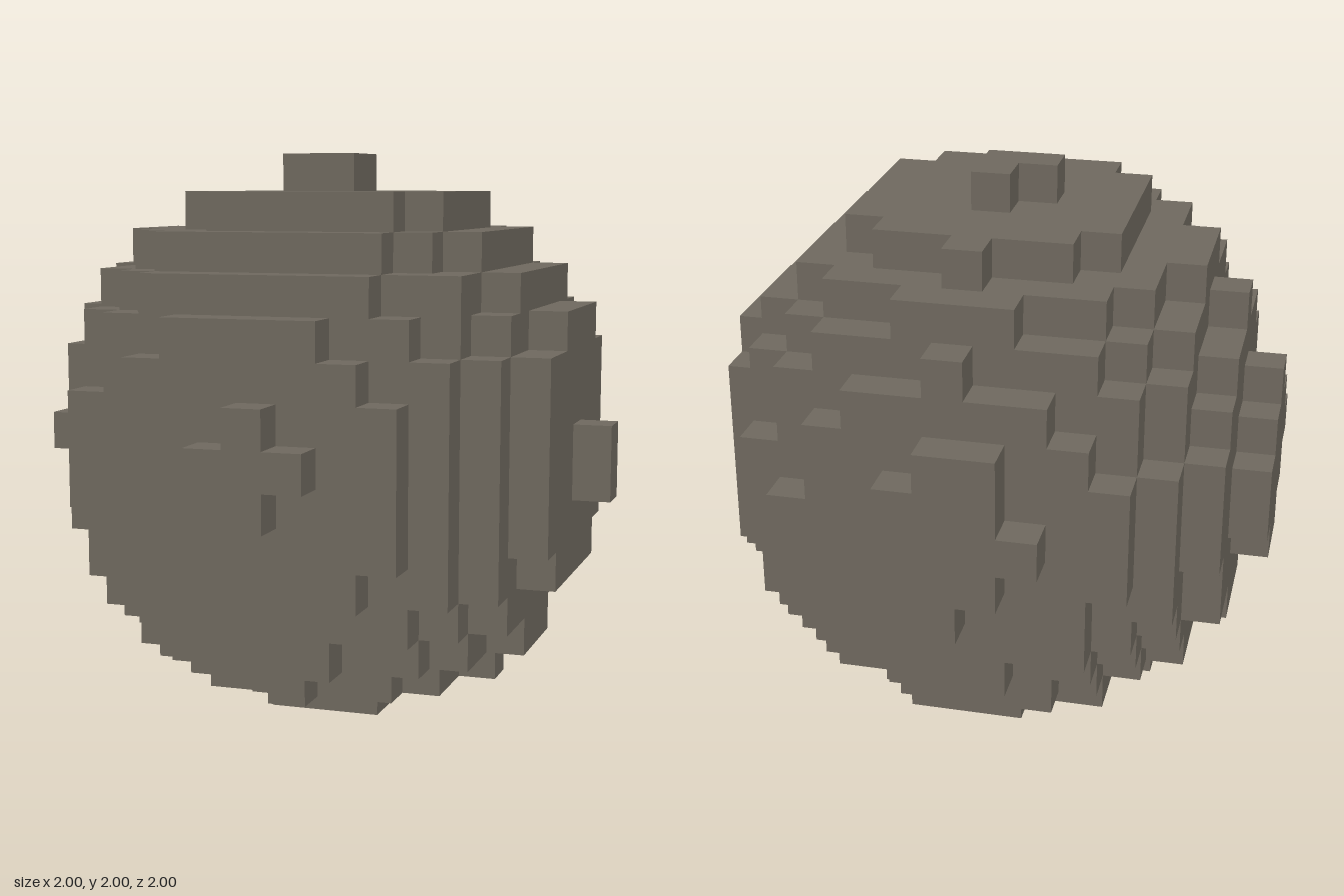
import * as THREE from 'three';
import { mergeGeometries } from 'three/addons/utils/BufferGeometryUtils.js';

const N = 7;                 // cells run from -N to N on each axis
const CELL = 2 / (2 * N + 1);

// Cells that break the plain rounding rule
const added = new Set(['0,6,-4', '4,0,-6', '0,2,-7', '-1,2,-7', '1,-2,-7']);
const removed = new Set(['3,2,6', '2,3,6', '-6,0,4']);

// Slightly off-centre ball, so each side has a different cap
function filled(x, y, z) {
  if (Math.max(Math.abs(x), Math.abs(y), Math.abs(z)) > N) return false;
  const key = `${x},${y},${z}`;
  if (added.has(key)) return true;
  if (removed.has(key)) return false;
  return x * x + y * y + z * z + 0.28 * x + 0.23 * y + 0.2 * z <= 51.74;
}

// One square face per direction, already moved to the side of its cell
function faceFor(dir) {
  const geometry = new THREE.PlaneGeometry(CELL, CELL);
  const normal = new THREE.Vector3(...dir);
  const turn = new THREE.Quaternion().setFromUnitVectors(new THREE.Vector3(0, 0, 1), normal);
  if (dir[2] === -1) turn.setFromAxisAngle(new THREE.Vector3(0, 1, 0), Math.PI);
  geometry.applyQuaternion(turn);
  return geometry.translate(...dir.map((d) => d * CELL / 2));
}

export function createModel() {
  const group = new THREE.Group();
  group.name = 'blockBoulder';
  const stone = new THREE.MeshStandardMaterial({ color: 0x6e685e });
  stone.name = 'stone';

  const sides = [[1, 0, 0], [-1, 0, 0], [0, 1, 0], [0, -1, 0], [0, 0, 1], [0, 0, -1]]
    .map((dir) => ({ dir, face: faceFor(dir) }));

  // Only the exposed faces of the cells
  const faces = [];
  for (let x = -N; x <= N; x++)
    for (let y = -N; y <= N; y++)
      for (let z = -N; z <= N; z++) {
        if (!filled(x, y, z)) continue;
        for (const { dir, face } of sides) {
          if (filled(x + dir[0], y + dir[1], z + dir[2])) continue;
          faces.push(face.clone().translate(x * CELL, y * CELL + 1, z * CELL));
        }
      }

  const boulder = new THREE.Mesh(mergeGeometries(faces), stone);
  boulder.name = 'boulder';
  group.add(boulder);
  return group;
}
